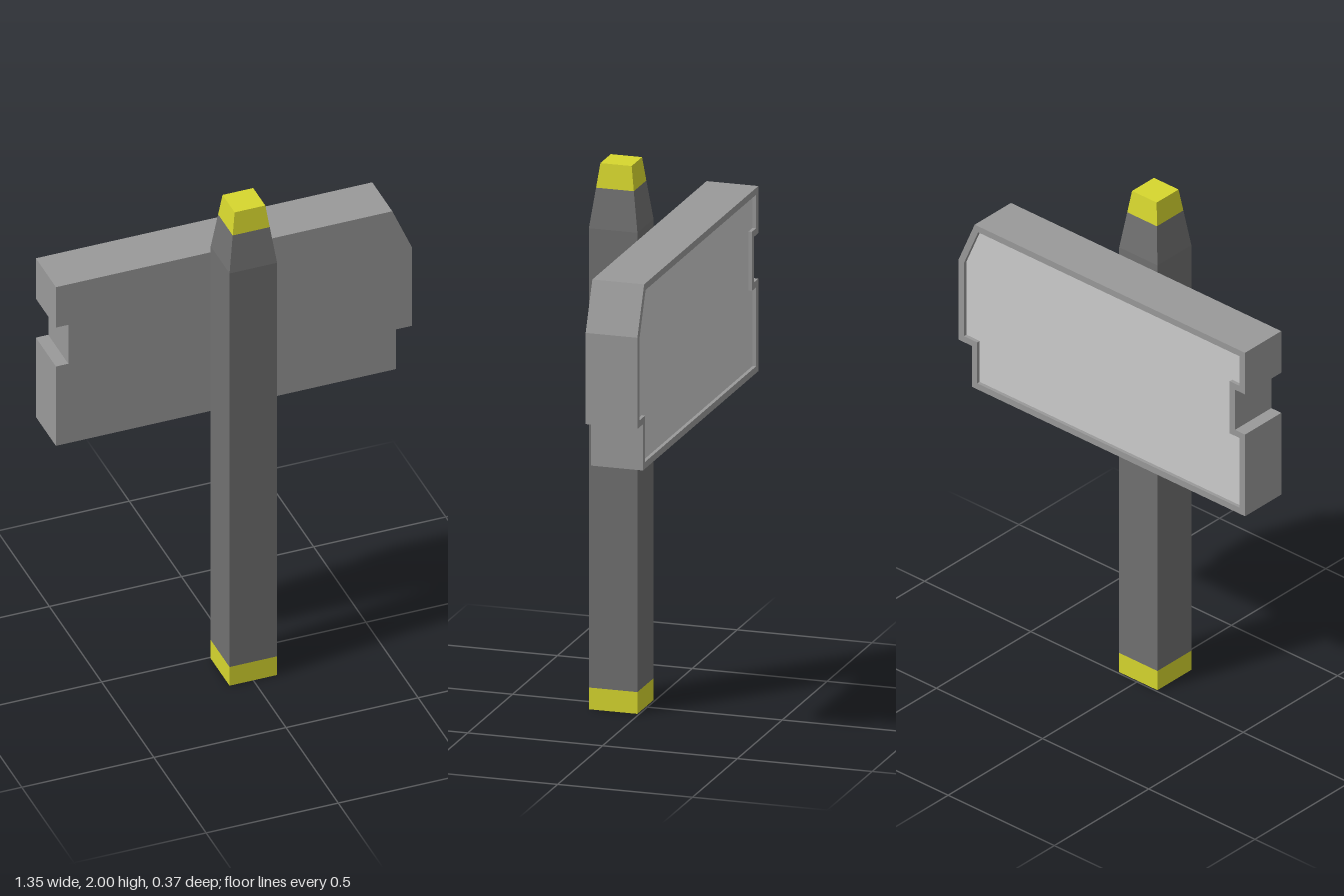
import * as THREE from 'three';

const postGrey = new THREE.MeshStandardMaterial({ name: 'darkGrey', color: 0x707070, side: THREE.DoubleSide, flatShading: true });
const yellow = new THREE.MeshStandardMaterial({ name: 'yellow', color: 0xd6d62e, side: THREE.DoubleSide, flatShading: true });
const boardGrey = new THREE.MeshStandardMaterial({ name: 'midGrey', color: 0x999999, flatShading: true });
const faceGrey = new THREE.MeshStandardMaterial({ name: 'lightGrey', color: 0xcccccc, flatShading: true });

const POST_Z = 0.097;
const BACK = -0.187, FRONT = 0.005, RECESS = 0.015, RIM = 0.025;

// Board outline, counter-clockwise
const outline = [
  [-0.675, 1.06], [0.611, 1.06], [0.611, 1.23], [0.673, 1.23], [0.673, 1.565], [0.598, 1.74],
  [-0.675, 1.74], [-0.675, 1.567], [-0.628, 1.567], [-0.628, 1.4], [-0.675, 1.4],
].map(([x, y]) => new THREE.Vector2(x, y));

// Moves every side of a counter-clockwise outline inwards by d
function inset(points, d) {
  const n = points.length;
  return points.map((p, i) => {
    const a = p.clone().sub(points[(i + n - 1) % n]).normalize();
    const b = points[(i + 1) % n].clone().sub(p).normalize();
    const na = new THREE.Vector2(-a.y, a.x), nb = new THREE.Vector2(-b.y, b.x);
    return p.clone().addScaledVector(na.clone().add(nb), d / (1 + na.dot(nb)));
  });
}

function slab(name, shape, z0, z1, material) {
  const geometry = new THREE.ExtrudeGeometry(shape, { depth: z1 - z0, bevelEnabled: false });
  const mesh = new THREE.Mesh(geometry.translate(0, 0, z0), material);
  mesh.name = name;
  return mesh;
}

// Hollow square tube section between two heights, with half widths h0 and h1
function section(name, y0, y1, h0, h1, material) {
  const geometry = new THREE.CylinderGeometry(h1 * Math.SQRT2, h0 * Math.SQRT2, y1 - y0, 4, 1, true);
  geometry.rotateY(Math.PI / 4).translate(0, (y0 + y1) / 2, POST_Z);
  const mesh = new THREE.Mesh(geometry, material);
  mesh.name = name;
  return mesh;
}

export function createModel() {
  const model = new THREE.Group();
  model.name = 'signpost';

  // Post, open underneath, with yellow foot and tapered tip
  const post = new THREE.Group();
  post.name = 'post';
  post.add(
    section('postFoot', 0, 0.08, 0.09, 0.09, yellow),
    section('postShaft', 0.08, 1.767, 0.09, 0.09, postGrey),
    section('postTaper', 1.767, 1.912, 0.09, 0.07, postGrey),
    section('postTip', 1.912, 2, 0.07, 0.058, yellow),
  );
  const top = new THREE.Mesh(new THREE.PlaneGeometry(0.116, 0.116), yellow);
  top.name = 'postTop';
  top.rotation.x = -Math.PI / 2;
  top.position.set(0, 2, POST_Z);
  post.add(top);

  // Board with a raised rim around a recessed face at the back
  const board = new THREE.Group();
  board.name = 'board';
  const inner = inset(outline, RIM);
  const rim = new THREE.Shape(outline);
  rim.holes.push(new THREE.Path(inner));
  board.add(
    slab('boardBody', new THREE.Shape(outline), BACK + RECESS, FRONT, boardGrey),
    slab('boardRim', rim, BACK, BACK + RECESS, boardGrey),
    slab('boardFace', new THREE.Shape(inner), BACK + RECESS - 0.002, BACK + RECESS, faceGrey),
  );

  model.add(post, board);
  return model;
}
